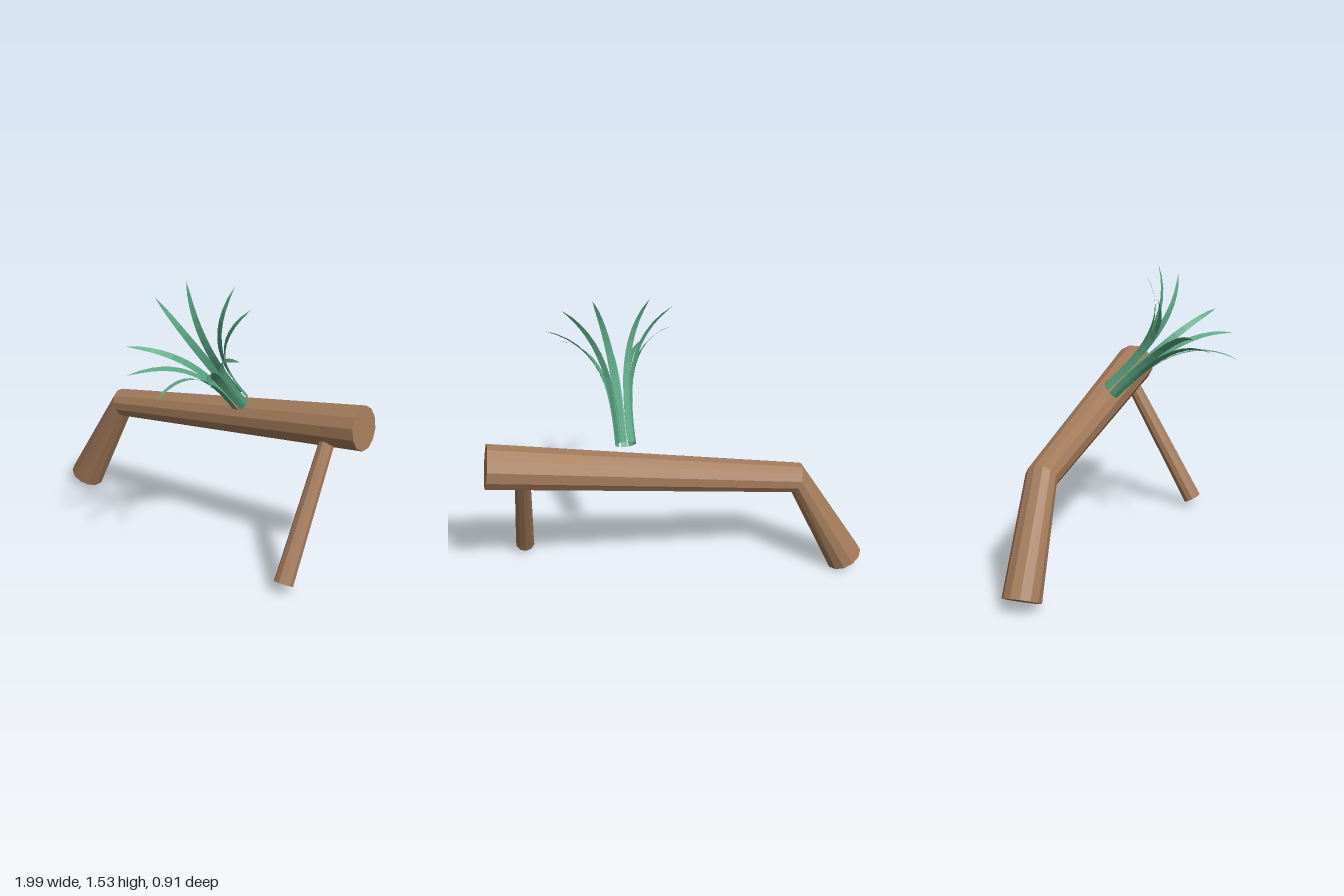
import * as THREE from 'three';

const wood = new THREE.MeshStandardMaterial({ color: 0xa47c5b });
wood.name = 'wood brown';
wood.flatShading = true;
const leaf = new THREE.MeshStandardMaterial({ color: 0x5aa583, side: THREE.DoubleSide });
leaf.name = 'leaf green';

function geometryFrom(points) {
  const g = new THREE.BufferGeometry().setFromPoints(points);
  g.computeVertexNormals();
  return g;
}

// Faceted, capped trunk through rings: centre, in-plane radius vector, radius along z
function trunkGeometry(rings, sides) {
  const loops = rings.map(({ c, v, rz }) =>
    Array.from({ length: sides }, (_, j) => {
      const a = ((j + 0.5) / sides) * Math.PI * 2;
      return new THREE.Vector3(
        c[0] + v[0] * Math.cos(a), c[1] + v[1] * Math.cos(a), c[2] + rz * Math.sin(a));
    }));
  const pts = [];
  const last = rings.length - 1;
  const start = new THREE.Vector3(...rings[0].c);
  const end = new THREE.Vector3(...rings[last].c);
  for (let j = 0; j < sides; j++) {
    const k = (j + 1) % sides;
    for (let i = 0; i < last; i++) {
      const a = loops[i][j], b = loops[i][k], c = loops[i + 1][j], d = loops[i + 1][k];
      pts.push(a, b, d, a, d, c);
    }
    pts.push(start, loops[0][k], loops[0][j], end, loops[last][j], loops[last][k]);
  }
  return geometryFrom(pts);
}

// Flat tapering blade: grows along y, bends out towards z
function bladeGeometry(length, spread) {
  const curve = new THREE.CubicBezierCurve3(
    new THREE.Vector3(0, 0, 0.052),
    new THREE.Vector3(0, 0.3, 0.04),
    new THREE.Vector3(0, 0.56, 0.08),
    new THREE.Vector3(0, length, spread));
  const steps = 12;
  const rows = curve.getPoints(steps).map((p, i) => {
    const t = i / steps;
    const half = 0.5 * (0.034 + 0.05 * t) * Math.pow(1 - t, 0.6);
    return [new THREE.Vector3(-half, p.y, p.z), new THREE.Vector3(half, p.y, p.z)];
  });
  const pts = [];
  for (let i = 0; i < steps; i++) {
    const [a, b] = rows[i], [c, d] = rows[i + 1];
    pts.push(a, b, d);
    if (i < steps - 1) pts.push(a, d, c);
  }
  return geometryFrom(pts);
}

export function createModel() {
  const model = new THREE.Group();
  model.name = 'logWithPlant';

  // Bent log: foot, elbow, raised end
  const log = new THREE.Mesh(trunkGeometry([
    { c: [-0.913, 0.047, -0.342], v: [-0.088, 0.047], rz: 0.1 },
    { c: [-0.617, 0.587, -0.342], v: [-0.0285, 0.075], rz: 0.083 },
    { c: [0.98, 0.82, -0.342], v: [-0.0155, 0.1165], rz: 0.1165 },
  ], 12), wood);
  log.name = 'bentLog';
  model.add(log);

  // Slanted prop under the raised end
  const foot = new THREE.Vector3(0.8, 0.05, 0.077);
  const top = new THREE.Vector3(0.8, 0.75, -0.307);
  const along = top.clone().sub(foot);
  const leg = new THREE.Mesh(
    new THREE.CylinderGeometry(0.04, 0.052, along.length(), 10), wood);
  leg.position.copy(foot).add(top).multiplyScalar(0.5);
  leg.quaternion.setFromUnitVectors(new THREE.Vector3(0, 1, 0), along.normalize());
  leg.name = 'propLeg';
  model.add(leg);

  // Plant leaning forward, nine blades fanned about its axis
  const plant = new THREE.Group();
  plant.name = 'plant';
  plant.position.set(0.268, 0.828, -0.258);
  plant.rotation.x = Math.PI / 4;
  const blade = bladeGeometry(0.66, 0.352);
  [1, 51, 81, 130, 160, 209, 239, 290, 320].forEach((deg, i) => {
    const mesh = new THREE.Mesh(blade, leaf);
    mesh.rotation.y = THREE.MathUtils.degToRad(deg);
    mesh.name = `blade${i + 1}`;
    plant.add(mesh);
  });
  model.add(plant);
  return model;
}
